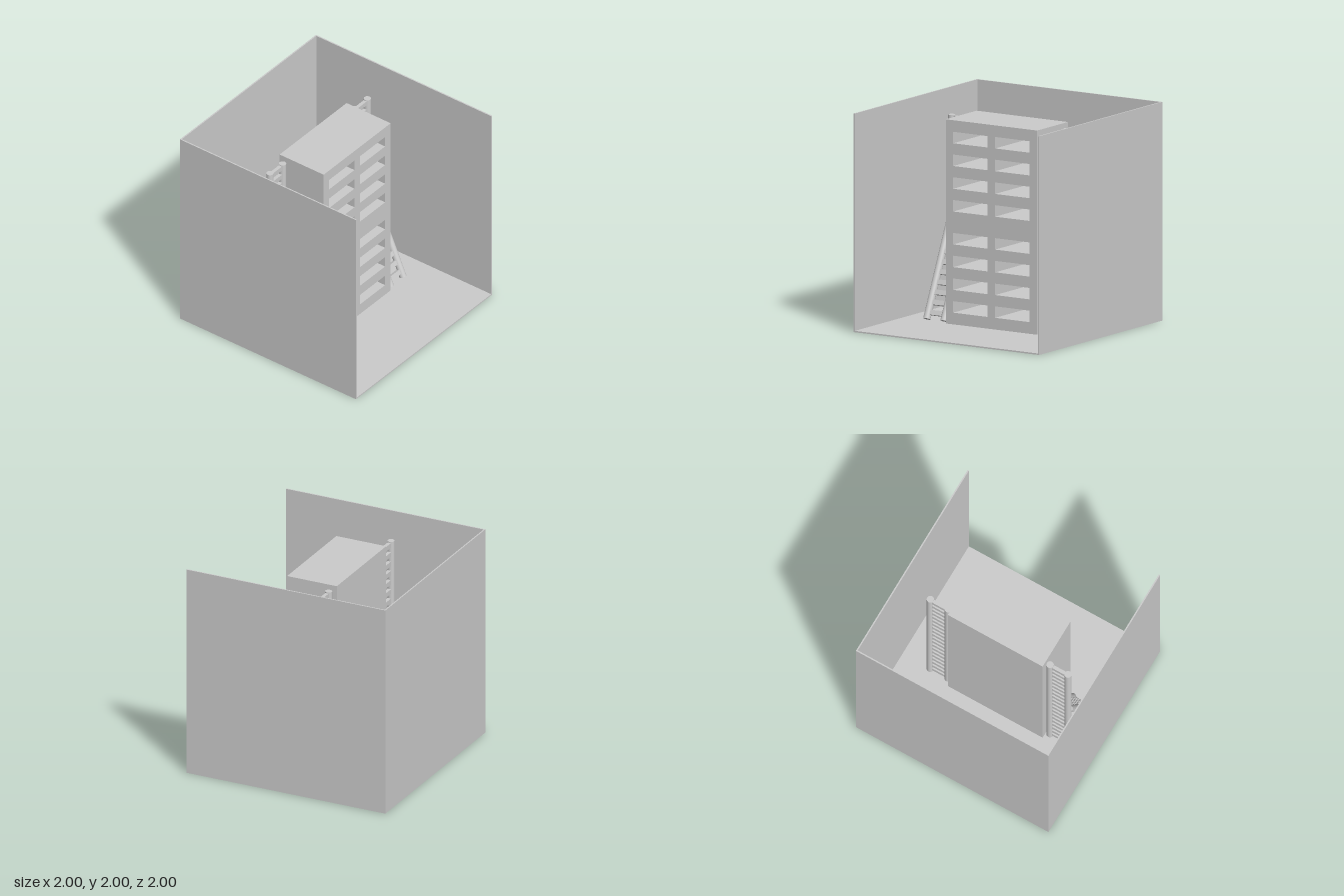
import * as THREE from 'three';

const material = new THREE.MeshStandardMaterial({ color: 0xcccccc });

function addMesh(parent, name, geometry, x, y, z) {
  const mesh = new THREE.Mesh(geometry, material);
  mesh.name = name;
  mesh.position.set(x, y, z);
  parent.add(mesh);
  return mesh;
}

const addBox = (parent, name, w, h, d, x, y, z) =>
  addMesh(parent, name, new THREE.BoxGeometry(w, h, d), x, y, z);

function rectangle(Type, x0, y0, x1, y1) {
  return new Type([[x0, y0], [x1, y0], [x1, y1], [x0, y1]].map(([x, y]) => new THREE.Vector2(x, y)));
}

// Two round rails joined by flat rungs, standing on its own origin
function createLadder(name, length, rungCount) {
  const ladder = new THREE.Group();
  ladder.name = name;
  const step = length / rungCount;
  for (const side of [-1, 1]) {
    addMesh(ladder, 'rail', new THREE.CylinderGeometry(0.033, 0.033, length, 32), side * 0.0925, length / 2, 0);
  }
  for (let i = 0; i < rungCount; i++) {
    addBox(ladder, 'rung', 0.15, 0.045, 0.033, 0, (i + 0.65) * step, 0);
  }
  return ladder;
}

export function createModel() {
  const model = new THREE.Group();
  model.name = 'roomWithTower';
  const t = 0.013;

  // Room, open at the front and top
  addBox(model, 'floor', 2, t, 2, 0, t / 2, 0);
  addBox(model, 'backWall', 2, 2 - t, t, 0, 1 + t / 2, -1 + t / 2);
  for (const side of [-1, 1]) {
    addBox(model, side > 0 ? 'leftWall' : 'rightWall', t, 2 - t, 2 - t, side * (1 - t / 2), 1 + t / 2, t / 2);
  }

  // Tower with two columns of deep openings and a closed back
  const tower = new THREE.Group();
  tower.name = 'tower';
  model.add(tower);
  const backDepth = 0.04;
  const face = rectangle(THREE.Shape, -0.505, t, 0.48, 1.88);
  for (const [x0, x1] of [[-0.425, -0.053], [0.027, 0.398]]) {
    for (const base of [0.12, 1.045]) {
      for (let i = 0; i < 4; i++) {
        const y = base + i * 0.208;
        face.holes.push(rectangle(THREE.Path, x0, y, x1, y + 0.105));
      }
    }
  }
  const body = new THREE.ExtrudeGeometry(face, { depth: 0.5 - backDepth, bevelEnabled: false });
  addMesh(tower, 'towerBody', body, 0, 0, -0.25 + backDepth);
  addBox(tower, 'towerBack', 0.985, 1.88 - t, backDepth, -0.0125, (1.88 + t) / 2, -0.25 + backDepth / 2);

  // On each side: an upright ladder with a shorter one leaning on it
  for (const x of [-0.6375, 0.6075]) {
    const upright = createLadder('uprightLadder', 1.82, 20);
    upright.position.set(x, t, -0.185);
    model.add(upright);

    const leaning = createLadder('leaningLadder', 0.95, 10);
    leaning.position.set(x, 0.027, 0.22);
    leaning.rotation.x = -0.42;
    model.add(leaning);
  }

  return model;
}
